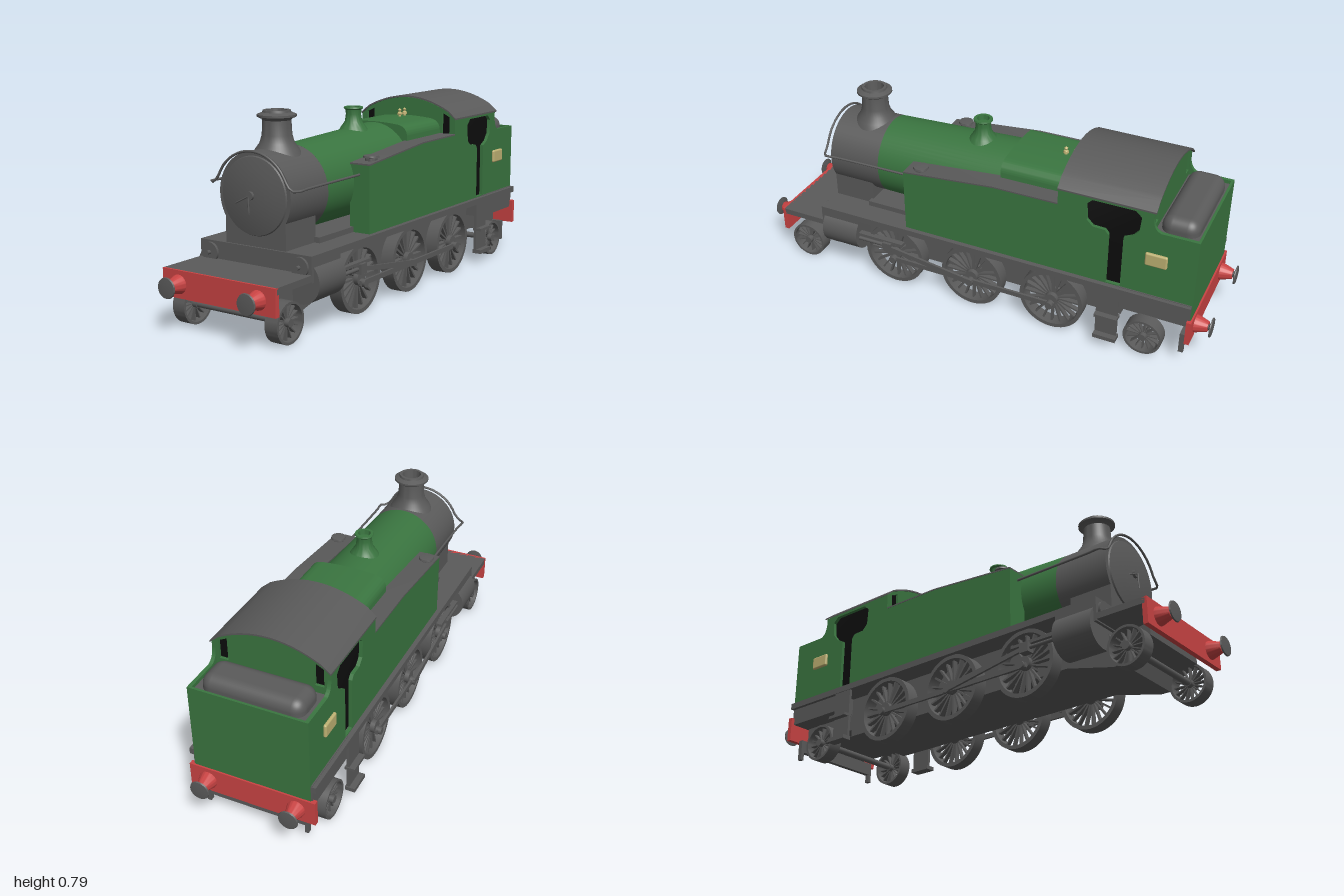
import * as THREE from 'three';
import { toCreasedNormals } from 'three/addons/utils/BufferGeometryUtils.js';
import { RoundedBoxGeometry } from 'three/addons/geometries/RoundedBoxGeometry.js';

const paint = (name, color) => {
  const m = new THREE.MeshStandardMaterial({ color });
  m.name = name;
  return m;
};

export function createModel() {
  const root = new THREE.Group();
  root.name = 'tankLocomotive';
  const grey = paint('darkGrey', 0x5a5a5a), green = paint('green', 0x3a7540), red = paint('red', 0xc94343);
  const black = paint('black', 0x0c0c0c), brass = paint('brass', 0xbdb072);

  const add = (name, geo, mat, parent = root) => {
    const m = new THREE.Mesh(geo, mat);
    m.name = name;
    parent.add(m);
    return m;
  };
  // Box given by its limits
  const box = (name, mat, [x0, x1], [y0, y1], [z0, z1]) =>
    add(name, new THREE.BoxGeometry(x1 - x0, y1 - y0, z1 - z0)
      .translate((x0 + x1) / 2, (y0 + y1) / 2, (z0 + z1) / 2), mat);
  const shapeOf = (pts) => new THREE.Shape(pts.map(([a, b]) => new THREE.Vector2(a, b)));
  const extrude = (shape, depth) =>
    toCreasedNormals(new THREE.ExtrudeGeometry(shape, { depth, bevelEnabled: false, curveSegments: 20 }), 0.6);
  // (z, y) outline stretched across x
  const across = (name, mat, shape, x0, x1) =>
    add(name, extrude(shape, x1 - x0).rotateY(-Math.PI / 2).translate(x1, 0, 0), mat);
  // (x, y) outline stretched along z
  const along = (name, mat, shape, z0, z1) => add(name, extrude(shape, z1 - z0).translate(0, 0, z0), mat);
  const lathe = (pts, n = 40) =>
    toCreasedNormals(new THREE.LatheGeometry(pts.map(([r, y]) => new THREE.Vector2(r, y)), n), 0.6);
  const rodZ = (name, mat, r, x, y, z0, z1, n = 40) =>
    add(name, new THREE.CylinderGeometry(r, r, z1 - z0, n).rotateX(Math.PI / 2)
      .translate(x, y, (z0 + z1) / 2), mat);
  const tube = (name, mat, pts, r) => add(name, new THREE.TubeGeometry(
    new THREE.CatmullRomCurve3(pts.map((p) => new THREE.Vector3(...p))), 60, r, 8), mat);

  // Frame, running plate and platforms
  across('mainFrame', grey, shapeOf([[0.88, 0.13], [0.88, 0.18], [0.72, 0.16], [0.66, 0.28], [-0.9, 0.28],
    [-0.9, 0.13], [-0.62, 0.13], [-0.62, 0.1], [0.52, 0.1], [0.72, 0.05], [0.76, 0.05], [0.78, 0.12]]), -0.165, 0.165);
  box('runningPlate', grey, [-0.26, 0.26], [0.272, 0.298], [-0.92, 0.72]);
  box('frontPlatform', grey, [-0.26, 0.26], [0.205, 0.23], [0.7, 0.92]);
  box('cylinderBlock', grey, [-0.26, 0.26], [0.2, 0.297], [0.54, 0.72]);
  box('rearPlatform', grey, [-0.245, 0.245], [0.2, 0.3], [-0.918, -0.62]);
  box('boilerSupport', grey, [-0.165, 0.165], [0.29, 0.32], [0.3, 0.54]);
  box('smokeboxSaddle', grey, [-0.14, 0.14], [0.29, 0.42], [0.53, 0.712]);
  box('rearGuardPlate', grey, [-0.2, 0.2], [0.075, 0.13], [-0.9, -0.88]);

  // End beams with sprung bumpers
  for (const e of [1, -1]) {
    const beam = box('endBeam', red, [-0.26, 0.26], [0.125, 0.23], [-0.01, 0.01]);
    beam.position.z = e * 0.919;
    for (const s of [1, -1]) {
      const bumper = new THREE.Group();
      bumper.name = 'bumper';
      bumper.position.set(s * 0.183, 0.178, e * 0.925);
      bumper.rotation.x = e * Math.PI / 2;
      root.add(bumper);
      add('bumperHousing', lathe([[0, 0], [0.037, 0], [0.035, 0.012], [0.021, 0.055], [0, 0.055]]), red, bumper);
      add('bumperHead', lathe([[0, 0.05], [0.011, 0.05], [0.012, 0.06], [0.04, 0.066], [0.038, 0.071], [0, 0.075]]), grey, bumper);
    }
  }

  // Wheels with rim, hub and spokes
  const wheel = (name, z, r, spokes) => {
    for (const s of [1, -1]) {
      const g = new THREE.Group();
      g.name = name;
      g.position.set(s * 0.215, r, z);
      g.rotation.z = -s * Math.PI / 2;
      root.add(g);
      const inner = r * 0.88, w = 0.028;
      add('rim', lathe([[r, -w], [r, w], [inner, w], [inner, -w], [r, -w]], 48), grey, g);
      add('hub', new THREE.CylinderGeometry(r * 0.2, r * 0.2, 0.058, 20), grey, g);
      for (let i = 0; i < spokes; i++) {
        const spoke = add('spoke', new THREE.BoxGeometry(inner, 0.02, r * 0.055).translate(inner / 2, 0, 0), grey, g);
        spoke.rotation.y = (i / spokes) * Math.PI * 2;
      }
    }
    add('axle', new THREE.CylinderGeometry(0.013, 0.013, 0.4, 12).rotateZ(Math.PI / 2).translate(0, r, z), grey);
  };
  for (const z of [0.378, 0.013, -0.346]) wheel('drivingWheel', z, 0.137, 20);
  wheel('leadingWheel', 0.823, 0.078, 16);
  wheel('trailingWheel', -0.737, 0.079, 16);

  // Parts mirrored on both sides
  for (const s of [1, -1]) {
    const side = (a, b) => (s > 0 ? [a, b] : [-b, -a]);

    // Cylinders and motion
    rodZ('steamCylinder', grey, 0.085, s * 0.2, 0.195, 0.54, 0.708);
    rodZ('valveCover', grey, 0.038, s * 0.21, 0.253, 0.715, 0.73);
    rodZ('valveSpindle', grey, 0.008, s * 0.21, 0.253, 0.725, 0.745, 12);
    box('slideBar', grey, side(0.235, 0.26), [0.2, 0.212], [0.33, 0.55]);
    box('crosshead', grey, side(0.238, 0.272), [0.165, 0.205], [0.38, 0.42]);
    rodZ('pistonRod', grey, 0.008, s * 0.255, 0.185, 0.4, 0.55, 12);
    box('couplingRod', grey, side(0.246, 0.256), [0.112, 0.132], [-0.365, 0.395]);
    across('connectingRod', grey, shapeOf([[0.41, 0.178], [0.41, 0.194], [0, 0.135], [0, 0.108]]), ...side(0.258, 0.268));
    for (const z of [0.378, 0.013, -0.346])
      add('crankPin', new THREE.CylinderGeometry(0.016, 0.016, 0.03, 16).rotateZ(Math.PI / 2)
        .translate(s * 0.253, 0.122, z), grey);

    // Cab steps
    box('stepPanel', grey, side(0.245, 0.257), [0.045, 0.298], [-0.635, -0.545]);
    box('lowerStep', grey, side(0.24, 0.282), [0.045, 0.062], [-0.64, -0.545]);
    box('upperStep', grey, side(0.24, 0.282), [0.15, 0.162], [-0.64, -0.545]);
    box('guardIron', grey, side(0.2, 0.215), [0.04, 0.13], [-0.9, -0.88]);

    // Side tank with sloped grey top
    const top = [[0.315, 0.565], [-0.085, 0.603], [-0.36, 0.605]];
    across('sideTank', green, shapeOf([[0.315, 0.298], ...top, [-0.36, 0.298]]), ...side(0.15, 0.24));
    across('tankTop', grey, shapeOf([...top, ...top.map(([z, y]) => [z, y + 0.006]).reverse()]), ...side(0.15, 0.241));
    add('tankFiller', lathe([[0, 0], [0.024, 0], [0.024, 0.018], [0.032, 0.02], [0.03, 0.028], [0, 0.031]], 24)
      .translate(s * 0.205, 0.567, 0.25), grey);

    // Cab and bunker side with window and doorway
    const panel = new THREE.Shape();
    panel.moveTo(-0.36, 0.298);
    panel.lineTo(-0.36, 0.674);
    panel.lineTo(-0.74, 0.674);
    panel.quadraticCurveTo(-0.735, 0.6, -0.775, 0.59);
    panel.lineTo(-0.92, 0.59);
    panel.lineTo(-0.92, 0.298);
    panel.holes.push(shapeOf([[-0.57, 0.302], [-0.57, 0.525], [-0.555, 0.543], [-0.505, 0.545], [-0.48, 0.57],
      [-0.475, 0.64], [-0.5, 0.663], [-0.67, 0.663], [-0.695, 0.64], [-0.69, 0.58], [-0.665, 0.548], [-0.63, 0.53], [-0.63, 0.302]]));
    across('cabSide', green, panel, ...side(0.225, 0.24));
    add('sidePlate', new RoundedBoxGeometry(0.016, 0.056, 0.088, 3, 0.007).translate(s * 0.243, 0.467, -0.765), brass);
  }

  // Smokebox, door and chimney
  rodZ('smokebox', grey, 0.165, 0, 0.487, 0.48, 0.712, 64);
  add('smokeboxDoor', lathe([[0.15, 0], [0.146, 0.008], [0.1, 0.018], [0.05, 0.023], [0, 0.025]], 56)
    .rotateX(Math.PI / 2).translate(0, 0.487, 0.71), grey);
  rodZ('doorBoss', grey, 0.016, 0, 0.492, 0.73, 0.745, 20);
  tube('doorHandle', grey, [[0, 0.492, 0.747], [-0.06, 0.462, 0.747]], 0.003);
  tube('doorHandle', grey, [[0, 0.492, 0.75], [0.003, 0.427, 0.75]], 0.003);
  add('chimney', lathe([[0.094, -0.015], [0.082, 0.008], [0.066, 0.03], [0.057, 0.06], [0.054, 0.115], [0.058, 0.12],
    [0.074, 0.128], [0.074, 0.136], [0.054, 0.144], [0.052, 0.152], [0.04, 0.152], [0.036, 0.11], [0, 0.11]])
    .translate(0, 0.638, 0.575), grey);

  // Handrail looped over the smokebox and along the boiler
  const rail = [[-0.196, 0.528, 0.32], [-0.2, 0.526, 0.66], [-0.203, 0.525, 0.715], [-0.18, 0.526, 0.728]];
  const arch = [];
  for (let i = 0; i <= 10; i++) {
    const a = Math.PI * (0.87 - 0.074 * i);
    arch.push([0.172 * Math.cos(a), 0.482 + 0.172 * Math.sin(a), 0.728]);
  }
  tube('handrail', grey, [...rail, ...arch, ...rail.map(([x, y, z]) => [-x, y, z]).reverse()], 0.005);

  // Tapered boiler, firebox and fittings
  const boiler = add('boiler', new THREE.CylinderGeometry(0.165, 0.178, 0.58, 64).rotateX(Math.PI / 2), green);
  boiler.position.set(0, 0.493, 0.192);
  boiler.rotation.x = 0.02;
  const firebox = shapeOf([[-0.165, 0.33], [0.165, 0.33]]);
  firebox.lineTo(0.165, 0.62);
  firebox.quadraticCurveTo(0.165, 0.67, 0.11, 0.674);
  firebox.quadraticCurveTo(0, 0.686, -0.11, 0.674);
  firebox.quadraticCurveTo(-0.165, 0.67, -0.165, 0.62);
  along('firebox', green, firebox, -0.37, -0.085);
  add('safetyValveCover', lathe([[0.066, -0.015], [0.05, 0.01], [0.036, 0.03], [0.031, 0.06], [0.033, 0.078],
    [0.04, 0.084], [0.038, 0.09], [0.026, 0.09], [0.024, 0.07], [0, 0.07]]).translate(0, 0.666, 0.068), green);
  for (const z of [-0.295, -0.335])
    add('whistle', lathe([[0.006, 0], [0.006, 0.012], [0.012, 0.014], [0.01, 0.022], [0.005, 0.026], [0.008, 0.034], [0, 0.042]], 16)
      .translate(0, 0.674, z), brass);

  // Cab end walls, dark interior and curved roof
  const cabOutline = (w, d) => {
    const p = shapeOf([[-w, 0.3], [w, 0.3], [w, 0.674 - d], [0.205, 0.705 - d]]);
    p.quadraticCurveTo(0, 0.815 - d, -0.205, 0.705 - d);
    p.lineTo(-w, 0.674 - d);
    return p;
  };
  for (const z of [-0.372, -0.74]) {
    const wall = cabOutline(0.24, 0.002);
    for (const s of [1, -1])
      wall.holes.push(shapeOf([[s * 0.175, 0.605], [s * 0.212, 0.605], [s * 0.212, 0.683], [s * 0.175, 0.702]]));
    along('cabEndWall', green, wall, z, z + 0.012);
  }
  along('cabInterior', black, cabOutline(0.222, 0.01), -0.727, -0.373);
  const roof = shapeOf([[0.243, 0.672], [0.205, 0.704]]);
  roof.quadraticCurveTo(0, 0.814, -0.205, 0.704);
  roof.lineTo(-0.243, 0.672);
  roof.lineTo(-0.243, 0.679);
  roof.lineTo(-0.205, 0.711);
  roof.quadraticCurveTo(0, 0.821, 0.205, 0.711);
  roof.lineTo(0.243, 0.679);
  along('cabRoof', grey, roof, -0.75, -0.358);

  // Bunker at the rear
  box('bunkerBack', green, [-0.24, 0.24], [0.23, 0.59], [-0.922, -0.912]);
  box('bunkerFloor', grey, [-0.226, 0.226], [0.3, 0.575], [-0.913, -0.74]);
  add('bunkerLoad', new RoundedBoxGeometry(0.41, 0.14, 0.148, 5, 0.045).translate(0, 0.566, -0.828), grey);

  return root;
}
